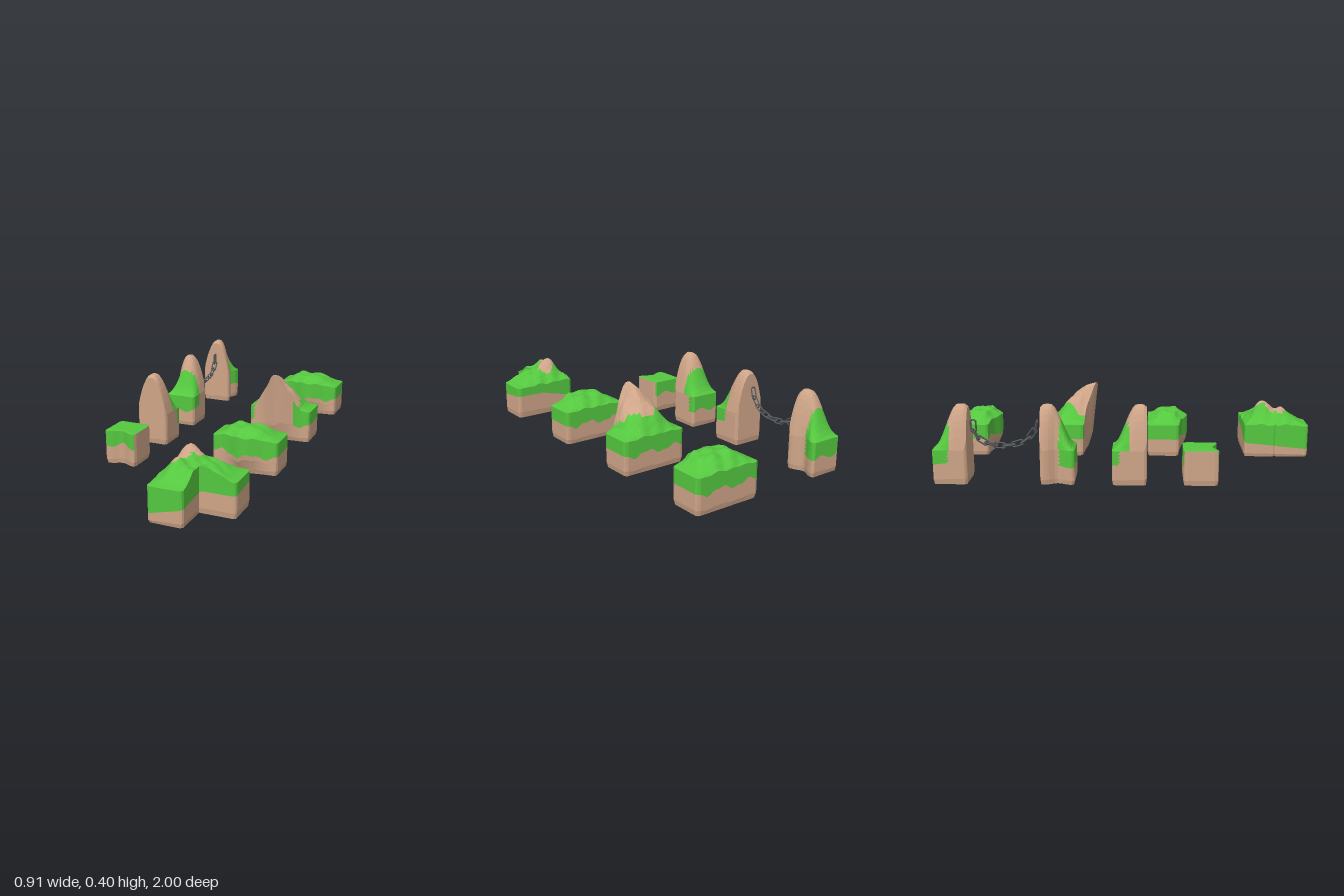
import * as THREE from 'three';

const grassMat = new THREE.MeshStandardMaterial({ color: 0x55c83f });
grassMat.name = 'grass green';
const rockMat = new THREE.MeshStandardMaterial({ color: 0xcfa588 });
rockMat.name = 'sandy rock';
const ironMat = new THREE.MeshStandardMaterial({ color: 0x55585a });
ironMat.name = 'dark iron';

const smooth = THREE.MathUtils.smoothstep;
const bell = (t) => Math.exp(-t * t);
const rough = (x, z) => 0.004 * Math.sin(x * 71 + z * 37) + 0.003 * Math.sin(z * 93 - x * 45);

// A box whose top follows height(x,z), with a turf line on its walls.
// isRock(p, face) marks turf that stays bare; isDark marks underside faces.
function terrain(name, o) {
  const { w, d, cx = 0, cz = 0, nx = 12, nz = 10, height, turf } = o;
  const ny = 8;
  const geo = new THREE.BoxGeometry(w, 1, d, nx, ny, nz).toNonIndexed();
  const pos = geo.attributes.position;
  const nor = geo.attributes.normal;
  const lists = { grass: [], rock: [], underside: [] };
  const p = new THREE.Vector3();
  for (let i = 0; i < pos.count; i += 3) {
    const tri = [];
    const mid = new THREE.Vector3();
    let level = 0;
    for (let k = 0; k < 3; k++) {
      p.fromBufferAttribute(pos, i + k);
      const t = p.y + 0.5;
      // softened corners and foot
      const edgeX = Math.abs(p.x) > w / 2 - 1e-4, edgeZ = Math.abs(p.z) > d / 2 - 1e-4;
      const inset = (edgeX && edgeZ ? 0.005 : 0) + (t < 0.01 ? 0.005 : 0);
      if (edgeX) p.x -= Math.sign(p.x) * inset;
      if (edgeZ) p.z -= Math.sign(p.z) * inset;
      p.x += cx;
      p.z += cz;
      const h = height(p.x, p.z) - (edgeX || edgeZ ? 0.003 : 0);
      const g = turf(p.x, p.z);
      p.y = t <= 0.5 ? t * 2 * g : g + (t - 0.5) * 2 * (h - g);
      if (o.shift) o.shift(p, t);
      level += t / 3;
      mid.addScaledVector(p, 1 / 3);
      tri.push(p.x, p.y, p.z);
    }
    const face = new THREE.Vector3().fromBufferAttribute(nor, i);
    let key = level > 0.5 && !(o.isRock && o.isRock(mid, face)) ? 'grass' : 'rock';
    if (face.y < -0.5 && o.isDark && o.isDark(mid)) key = 'underside';
    lists[key].push(...tri);
  }
  const group = new THREE.Group();
  group.name = name;
  const mats = { grass: grassMat, rock: rockMat, underside: ironMat };
  for (const key of Object.keys(lists)) {
    if (!lists[key].length) continue;
    const g = new THREE.BufferGeometry();
    g.setAttribute('position', new THREE.Float32BufferAttribute(lists[key], 3));
    g.computeVertexNormals();
    const mesh = new THREE.Mesh(g, mats[key]);
    mesh.name = key;
    group.add(mesh);
  }
  return group;
}

// Tall arched slab facing +z with a grassy tail behind it
function pillar(name, notch) {
  const back = (z) => 0.5 - z / 0.176;
  return terrain(name, {
    w: 0.18, d: 0.176, nx: 16, nz: 12,
    height: (x, z) => {
      const arch = 1 - Math.min(1, Math.abs(x) / 0.09) ** 2.3;
      return 0.183 + 0.22 * arch * (1 - smooth(back(z), 0.28, 1.02)) - 0.012 * bell(back(z) / 0.06) * arch;
    },
    turf: (x, z) => 0.095 + 0.012 * Math.sin(x * 45) + 0.02 * (1 - back(z)),
    shift: (p) => {
      const side = Math.max(0, p.x / 0.09);
      if (notch) p.x -= 0.03 * side * bell((p.z + 0.0) / 0.04);
    },
    isRock: (p, f) => {
      const b = back(p.z);
      if (f.z > 0.5) return true;
      if (Math.abs(f.x) > 0.5) return b < (notch ? 0.55 : 0.8);
      return p.y > 0.33 || b < 0.6 - 0.12 * Math.abs(p.x) / 0.09;
    },
    isDark: (p) => back(p.z) > 0.4,
  });
}

// Long mound with a bulging front; an optional crag leans over the bulge
function mound(name, crag) {
  const front = (z) => z / 0.18 + 0.5;
  return terrain(name, {
    w: 0.36, d: 0.18, nx: 20, nz: 10,
    height: (x, z) => {
      const f = front(z);
      const ends = smooth(0.18 - Math.abs(x), 0, 0.12);
      let h = 0.182 + ends * (0.055 * smooth(f, -0.1, 0.45) - 0.035 * smooth(f, 0.75, 1)) + rough(x, z) * ends;
      if (crag) {
        const peak = Math.max(0, 1 - Math.abs(x + 0.01) / 0.14);
        h += 0.225 * Math.min(0.86, peak ** 1.1) * Math.max(0, f) ** 1.3;
      }
      return h;
    },
    turf: (x) => 0.1 + 0.012 * Math.sin(x * 38) + 0.006 * Math.sin(x * 90),
    shift: (p, t) => {
      const f = Math.max(0, front(p.z));
      const lift = crag ? 0.15 + 0.85 * t : 0.35 + 0.65 * smooth(t, 0, 0.5);
      p.z += (crag ? 0.072 : 0.052) * f * f * bell((p.x - 0.01) / 0.085) * lift;
    },
    isRock: (p, f) => {
      if (!crag) return false;
      if (f.z > 0.5) return p.x > -0.15 && p.x < 0.09;
      if (f.y > 0.5) return Math.abs(p.x + 0.005) < 0.035 + 0.085 * smooth(p.z, -0.03, 0.06) && p.z > -0.025;
      return false;
    },
  });
}

// L-shaped corner with two small summits
function corner() {
  const group = new THREE.Group();
  group.name = 'cornerHill';
  const r = (x, z, a, b) => Math.hypot(x - a, z - b);
  const shared = {
    height: (x, z) => {
      const inside = smooth(Math.min(x - 0.09, z - 0.64), -0.02, 0.08);
      const ends = smooth(0.45 - x, 0, 0.15) * smooth(1 - z, 0, 0.14);
      return 0.182 + ends * (0.055 * inside + 0.075 * bell(r(x, z, 0.195, 0.75) / 0.05)
        + 0.035 * bell(r(x, z, 0.17, 0.85) / 0.04) + rough(x, z));
    },
    turf: (x, z) => 0.045 + 0.25 * Math.min(x - 0.09, 0.2) + 0.1 * (1 - z),
    isRock: (p, f) => f.y > 0.5 && (r(p.x, p.z, 0.215, 0.73) < 0.045 || r(p.x, p.z, 0.18, 0.79) < 0.032
      || r(p.x, p.z, 0.165, 0.845) < 0.025),
  };
  group.add(terrain('backArm', { w: 0.36, d: 0.18, cx: 0.27, cz: 0.73, nx: 22, nz: 12, ...shared }));
  group.add(terrain('frontArm', { w: 0.18, d: 0.19, cx: 0.18, cz: 0.905, nx: 11, nz: 12, ...shared }));
  return group;
}

// Low end block with a scooped front
function endBlock() {
  return terrain('endBlock', {
    w: 0.18, d: 0.18, nx: 14, nz: 8,
    height: () => 0.184,
    turf: (x) => 0.105 + 0.012 * Math.sin(x * 50 + 1),
    shift: (p) => { p.z -= 0.03 * Math.max(0, p.z / 0.09) * bell(p.x / 0.045); },
    isRock: (p, f) => Math.abs(f.x) > 0.5,
  });
}

// Elongated links alternating along a hanging curve, with a staple at each end
function chain() {
  const group = new THREE.Group();
  group.name = 'chain';
  const link = new THREE.TorusGeometry(0.0145, 0.0048, 4, 8).rotateZ(Math.PI / 8);
  const pos = link.attributes.position;
  for (let i = 0; i < pos.count; i++) pos.setY(i, pos.getY(i) + Math.sign(pos.getY(i)) * 0.018);
  const flat = link.toNonIndexed();
  flat.computeVertexNormals();
  const path = [[-0.475, 0.31], [-0.49, 0.265], [-0.54, 0.21], [-0.65, 0.183], [-0.75, 0.205], [-0.795, 0.25], [-0.803, 0.31]];
  const curve = new THREE.CatmullRomCurve3(path.map(([z, y]) => new THREE.Vector3(0, y, z)));
  const count = 10;
  for (let i = 0; i < count; i++) {
    const u = (i + 0.5) / count;
    const mesh = new THREE.Mesh(flat, ironMat);
    mesh.name = 'chainLink';
    mesh.position.copy(curve.getPointAt(u));
    const dir = curve.getTangentAt(u);
    mesh.quaternion.setFromUnitVectors(new THREE.Vector3(0, 1, 0), dir);
    mesh.rotateY((i % 2) * Math.PI / 2);
    group.add(mesh);
  }
  const staple = new THREE.TorusGeometry(0.025, 0.006, 4, 6, Math.PI).toNonIndexed();
  staple.computeVertexNormals();
  for (const [z, s] of [[-0.453, 1], [-0.825, -1]]) {
    const mesh = new THREE.Mesh(staple, ironMat);
    mesh.name = 'staple';
    mesh.position.set(0, 0.315, z);
    mesh.rotation.set(0, s * Math.PI / 2, Math.PI / 2, 'YXZ');
    group.add(mesh);
  }
  group.position.x = -0.365;
  return group;
}

export function createModel() {
  const model = new THREE.Group();
  model.name = 'terrainSet';
  const add = (part, x, z, turn = 0) => {
    part.position.set(x, 0, z);
    part.rotation.y = turn;
    model.add(part);
  };
  // pillars and end block
  add(pillar('backGatePillar', true), -0.365, -0.912);
  add(pillar('frontGatePillar', true), -0.365, -0.367, Math.PI);
  add(pillar('singlePillar', false), -0.365, -0.002);
  add(endBlock(), -0.365, 0.361);
  // hills
  add(mound('backHill', false), 0.27, -0.91);
  add(mound('cragHill', true), 0.27, -0.365);
  add(mound('middleHill', false), 0.27, 0.18);
  model.add(corner());
  model.add(chain());
  return model;
}
